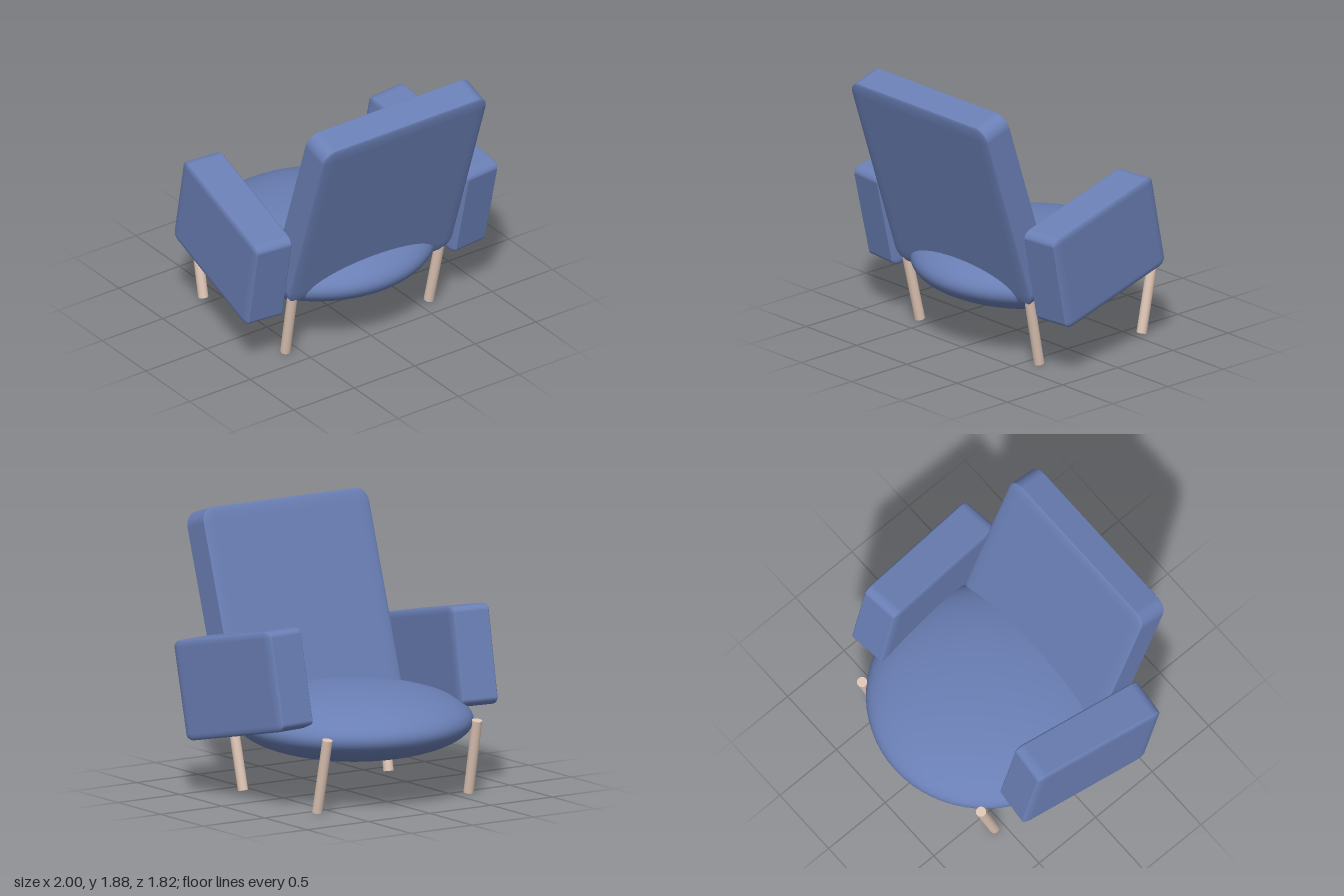
import * as THREE from 'three';
import { RoundedBoxGeometry } from 'three/addons/geometries/RoundedBoxGeometry.js';

export function createModel() {
  const chair = new THREE.Group();
  chair.name = 'armchair';
  const fabric = new THREE.MeshStandardMaterial({ color: 0x6a7fb5 });
  const wood = new THREE.MeshStandardMaterial({ color: 0xdec5b5 });

  const add = (name, geometry, material) => {
    const mesh = new THREE.Mesh(geometry, material);
    mesh.name = name;
    chair.add(mesh);
    return mesh;
  };

  // Cushion: a unit rounded cube stretched to size, so its rounding stretches too
  const cushion = (name, size, position, pitch, yaw) => {
    const mesh = add(name, new RoundedBoxGeometry(1, 1, 1, 5, 0.07), fabric);
    mesh.scale.set(...size);
    mesh.position.set(...position);
    mesh.rotation.set(pitch, yaw, 0, 'YXZ');
  };

  // Seat: flattened ball
  const seat = add('seat', new THREE.SphereGeometry(1, 64, 40), fabric);
  seat.scale.set(0.8, 0.245, 0.8);
  seat.position.set(0, 0.5, -0.114);

  // Backrest, leaning towards +z
  const deg = THREE.MathUtils.degToRad;
  cushion('backrest', [1.35, 1.44, 0.23], [0, 1.165, 0.588], deg(18), 0);

  // Leg: straight rod between two points
  const leg = (name, bottom, top) => {
    const axis = top.clone().sub(bottom);
    const mesh = add(name, new THREE.CylinderGeometry(0.035, 0.035, axis.length(), 24), wood);
    mesh.position.copy(bottom).add(top).multiplyScalar(0.5);
    mesh.quaternion.setFromUnitVectors(new THREE.Vector3(0, 1, 0), axis.normalize());
  };

  // Armrests and legs, mirrored
  for (const [side, s] of [['left', 1], ['right', -1]]) {
    cushion(side + 'Armrest', [0.29, 0.68, 1.02], [s * 0.802, 0.808, 0.032], deg(12), s * deg(6));
    leg(side + 'BackrestLeg', new THREE.Vector3(s * 0.593, 0.007, 0.34), new THREE.Vector3(s * 0.61, 0.515, 0.45));
    leg(side + 'SeatEdgeLeg', new THREE.Vector3(s * 0.617, 0.007, -0.567), new THREE.Vector3(s * 0.61, 0.515, -0.678));
  }

  return chair;
}
